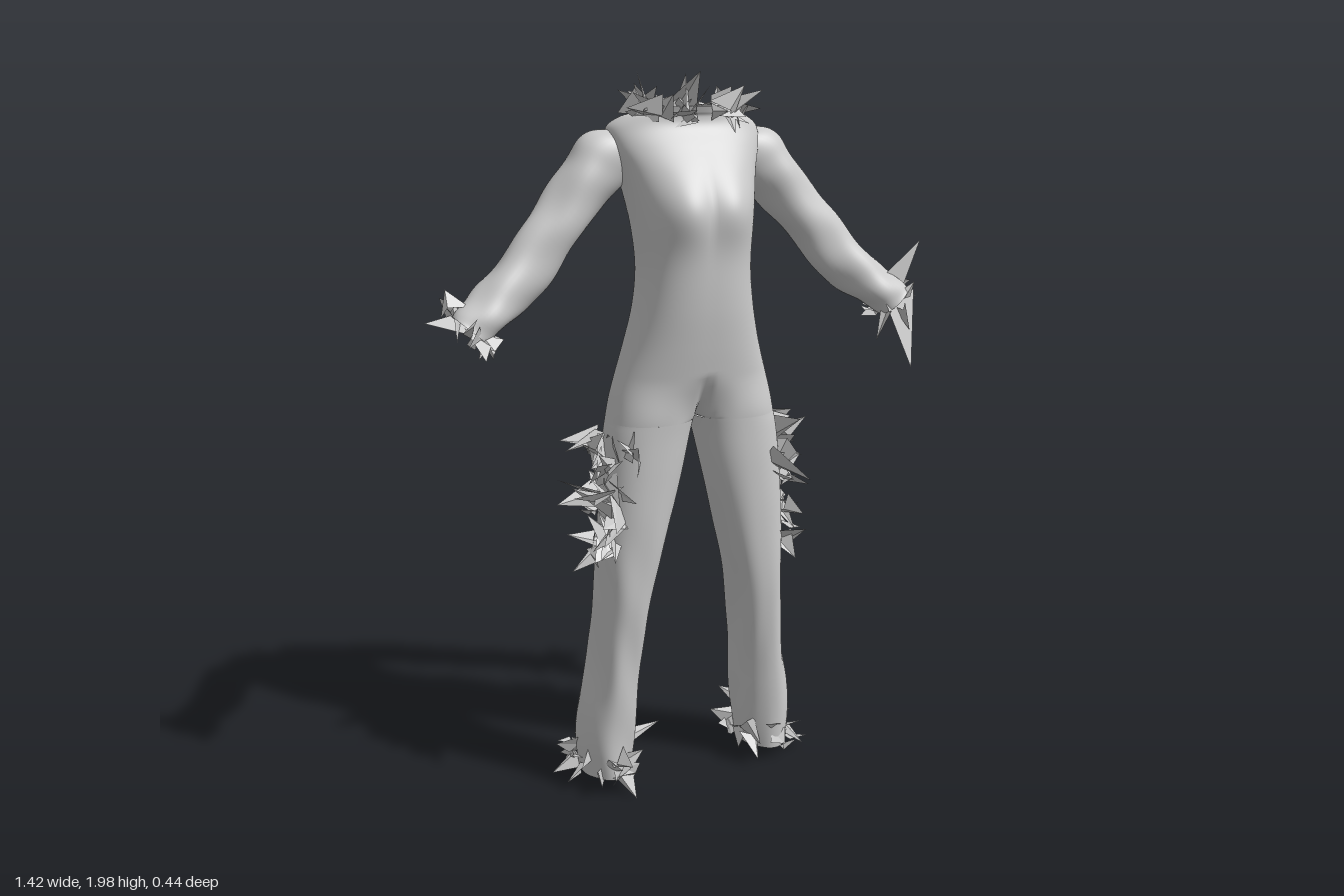
import * as THREE from 'three';

const grey = new THREE.MeshStandardMaterial({ color: 0xcccccc, side: THREE.DoubleSide });
const greyFlat = new THREE.MeshStandardMaterial({ color: 0xcccccc, side: THREE.DoubleSide, flatShading: true });

// Catmull-Rom interpolation of every column in a table of section rows, t in 0..1
function sample(rows, t) {
  const f = t * (rows.length - 1), i = Math.min(Math.floor(f), rows.length - 2), u = f - i;
  const row = k => rows[Math.max(0, Math.min(rows.length - 1, k))];
  return rows[i].map((b, c) => {
    const a = row(i - 1)[c], d = row(i + 1)[c], e = row(i + 2)[c];
    return b + 0.5 * u * (d - a + u * (2 * a - 5 * b + 4 * d - e + u * (3 * (b - d) + e - a)));
  });
}

// Closed-ring skin: point(t, angle) gives [x, y, z]; side -1 mirrors it across x
function loft(name, nv, nu, point, side = 1) {
  const pos = [], idx = [];
  for (let j = 0; j <= nv; j++) {
    for (let i = 0; i < nu; i++) {
      const p = point(j / nv, (i / nu) * Math.PI * 2);
      pos.push(p[0] * side, p[1], p[2]);
      if (j === nv) continue;
      const a = j * nu + i, b = j * nu + (i + 1) % nu, c = a + nu, d = b + nu;
      if (side > 0) idx.push(a, c, b, b, c, d);
      else idx.push(a, b, c, b, d, c);
    }
  }
  const g = new THREE.BufferGeometry();
  g.setAttribute('position', new THREE.Float32BufferAttribute(pos, 3));
  g.setIndex(idx);
  g.computeVertexNormals();
  const mesh = new THREE.Mesh(g, grey);
  mesh.name = name;
  return mesh;
}

const spow = (v, e) => Math.sign(v) * Math.abs(v) ** e;
const bump = (x, y, cx, cy, wx, wy) => Math.exp(-(((x - cx) / wx) ** 2) - ((y - cy) / wy) ** 2);
const smooth = THREE.MathUtils.smoothstep;
const buttock = (x, y) => 0.036 * bump(x, y, 0.1, 1.185, 0.085, 0.085);

// Torso sections: y, half width, front z, back z, mid z
const torsoRows = [
  [1.095, 0.237, 0.128, -0.095, 0.0165], [1.15, 0.226, 0.133, -0.1, 0.017],
  [1.2, 0.213, 0.14, -0.1, 0.018], [1.3, 0.184, 0.156, -0.092, 0.02],
  [1.4, 0.161, 0.168, -0.084, 0.03], [1.5, 0.151, 0.172, -0.08, 0.03],
  [1.6, 0.158, 0.167, -0.09, 0.02], [1.68, 0.17, 0.153, -0.112, 0.0],
  [1.75, 0.186, 0.128, -0.127, -0.02], [1.81, 0.205, 0.092, -0.13, -0.035],
  [1.855, 0.206, 0.062, -0.124, -0.042], [1.882, 0.172, 0.055, -0.108, -0.03],
  [1.895, 0.128, 0.06, -0.088, -0.012], [1.91, 0.108, 0.066, -0.075, 0],
];

function torsoPoint(t, a) {
  const [y, w, zf, zb, zm] = sample(torsoRows, t);
  const s = Math.sin(a), x = w * spow(Math.cos(a), 0.82);
  const front = s > 0, ax = Math.abs(x);
  // towards the crotch the outline turns into two thigh ovals side by side
  const body = Math.abs(s) ** 0.82;
  const thigh = Math.max(0, 1 - Math.abs(2 * ax / w - 1) ** (2 / 0.9)) ** 0.45;
  const kMid = 1 - Math.sqrt(Math.min(1, Math.max(0, (y - 1.095) / 0.13)));
  const kSide = 1 - smooth(y, 1.095, 1.22);
  const shape = body + (thigh - body) * THREE.MathUtils.lerp(kMid, kSide, smooth(ax, 0, 0.08));
  let d = shape * (front ? zf - zm : zm - zb);
  // bust in front, buttocks, cleft and shoulder blades behind
  if (front) d += Math.abs(s) * 0.034 * bump(ax, y, 0.075, 1.655, 0.085, 0.085);
  else {
    d += shape * (buttock(ax, y) + 0.01 * bump(ax, y, 0.09, 1.74, 0.07, 0.1) - 0.008 * bump(x, y, 0, 1.6, 0.04, 0.2));
    d *= 1 - 0.26 * (1 - smooth(y, 1.15, 1.33)) * Math.exp(-((x / 0.025) ** 2));
  }
  return [x, y, zm + (front ? d : -d)];
}

// Trouser leg sections from hem to hip: y, inner x, outer x, front z, back z
const legRows = [
  [0.06, 0.18, 0.318, 0.07, -0.135], [0.15, 0.168, 0.325, 0.075, -0.14],
  [0.25, 0.16, 0.315, 0.082, -0.138], [0.4, 0.152, 0.288, 0.092, -0.128],
  [0.6, 0.122, 0.273, 0.112, -0.1], [0.8, 0.072, 0.266, 0.122, -0.082],
  [0.95, 0.035, 0.256, 0.126, -0.08], [1.05, 0.012, 0.246, 0.127, -0.088],
  [1.095, 0, 0.237, 0.128, -0.095],
];

function legPoint(t, a) {
  const [y, xi, xo, zf, zb] = sample(legRows, t);
  const folds = 0.025 * (1 - smooth(y, 0.5, 1.0));
  const r = 1 + folds * (Math.sin(5 * a + 5 * y) + 0.6 * Math.sin(24 * y + 4 * a));
  const x = (xi + xo) / 2 + (xo - xi) / 2 * r * spow(Math.cos(a), 0.9);
  const s = spow(Math.sin(a), 0.9);
  return [x, y, (zf + zb) / 2 + s * ((zf - zb) / 2 * r + (s < 0 ? buttock(x, y) : 0))];
}

// Sleeve sections from cuff to shoulder: x, y, z, radius across, radius in z
const armRows = [
  [0.605, 1.372, 0.037, 0.054, 0.06], [0.55, 1.415, 0.022, 0.06, 0.062],
  [0.46, 1.49, -0.008, 0.069, 0.061], [0.36, 1.607, -0.028, 0.069, 0.065],
  [0.265, 1.722, -0.043, 0.076, 0.068], [0.205, 1.785, -0.047, 0.083, 0.065],
  [0.145, 1.805, -0.045, 0.07, 0.052], [0.08, 1.81, -0.04, 0.04, 0.03],
];

function armPoint(t, a) {
  const [x, y, z, r, rz] = sample(armRows, t);
  const folds = 0.05 * (1 - smooth(t, 0.45, 0.75));
  const k = 1 + folds * (Math.sin(3 * a + 18 * t) + 0.6 * Math.sin(40 * t - 2 * a));
  const c = Math.cos(a) * r * k;
  return [x + 0.75 * c, y + 0.66 * c, z + Math.sin(a) * rz * k];
}

// Seeded random numbers
function seeded(seed) {
  let s = seed;
  return () => ((s = (s * 16807) % 2147483647) / 2147483647);
}

// Cluster of folded pointed shards; place(rnd) returns [point, outward direction]
function shards(name, count, size, seed, place, extra = []) {
  const rnd = seeded(seed), pos = [];
  const rv = () => new THREE.Vector3(rnd() - 0.5, rnd() - 0.5, rnd() - 0.5).normalize();
  const push = (...ps) => ps.forEach(p => pos.push(p.x, THREE.MathUtils.clamp(p.y, 0.02, 2), p.z));
  for (let i = 0; i < count; i++) {
    const [p, out] = place(rnd);
    const dir = out.clone().multiplyScalar(0.7).addScaledVector(rv(), 0.9).normalize();
    const across = rv().cross(dir).normalize();
    const len = size * (0.45 + 0.75 * rnd()), wide = size * (0.2 + 0.3 * rnd());
    const tip = p.clone().addScaledVector(dir, len);
    const l = p.clone().addScaledVector(across, wide), r = p.clone().addScaledVector(across, -wide);
    const ridge = p.clone().addScaledVector(rv(), wide * 0.7);
    push(l, ridge, tip, ridge, r, tip);
  }
  extra.forEach(tri => push(...tri.map(q => new THREE.Vector3(...q))));
  const g = new THREE.BufferGeometry();
  g.setAttribute('position', new THREE.Float32BufferAttribute(pos, 3));
  g.computeVertexNormals();
  const mesh = new THREE.Mesh(g, greyFlat);
  mesh.name = name;
  return mesh;
}

// Places shards on a skin function, within ranges of t and angle
const onSkin = (point, t0, t1, a0, a1, side, lift = [0, 0, 0]) => rnd => {
  const t = t0 + (t1 - t0) * rnd(), a = a0 + (a1 - a0) * rnd();
  const p = point(t, a), c = point(t, a + Math.PI);
  const v = new THREE.Vector3(p[0] * side, p[1], p[2]);
  const out = v.clone().sub(new THREE.Vector3(c[0] * side, c[1], c[2])).normalize();
  return [v, out.add(new THREE.Vector3(lift[0] * side, lift[1], lift[2])).normalize()];
};

export function createModel() {
  const group = new THREE.Group();
  const TAU = Math.PI * 2;
  group.add(loft('torso', 130, 128, torsoPoint));
  group.add(shards('collarShards', 46, 0.095, 77, onSkin(torsoPoint, 0.89, 1, 0, TAU, 1, [0, 0.35, 0])));

  // long single spikes at each cuff
  const spikes = {
    left: [[[0.55, 1.43, 0.06], [0.63, 1.36, 0.03], [0.71, 1.53, 0.01]],
      [[0.555, 1.39, 0.08], [0.665, 1.4, 0.06], [0.625, 1.19, 0.13]],
      [[0.6, 1.4, -0.05], [0.61, 1.37, 0.05], [0.71, 1.37, 0]]],
    right: [[[-0.59, 1.41, -0.03], [-0.6, 1.36, 0.05], [-0.71, 1.39, 0]],
      [[-0.55, 1.36, 0.07], [-0.62, 1.38, 0.05], [-0.59, 1.31, 0.14]]],
  };
  for (const [label, side, seed] of [['left', 1, 311], ['right', -1, 9021]]) {
    group.add(loft(label + 'Leg', 80, 64, legPoint, side));
    group.add(loft(label + 'Sleeve', 60, 40, armPoint, side));
    group.add(shards(label + 'CuffShards', 12, 0.08, seed, onSkin(armPoint, 0, 0.06, 0, TAU, side, [0.3, -0.2, 0]), spikes[label]));
    group.add(shards(label + 'HemShards', 28, 0.08, seed + 5, onSkin(legPoint, 0, 0.12, 0, TAU, side, [0, -0.3, 0])));
    group.add(shards(label + 'ThighShards', 30, 0.115, seed + 50, onSkin(legPoint, 0.68, 0.88, -0.6, 1, side, [0.4, 0, 0])));
    group.add(shards(label + 'LowerThighShards', 14, 0.1, seed + 90, onSkin(legPoint, 0.57, 0.66, -0.3, 0.9, side, [0.4, 0, 0])));
  }
  return group;
}
